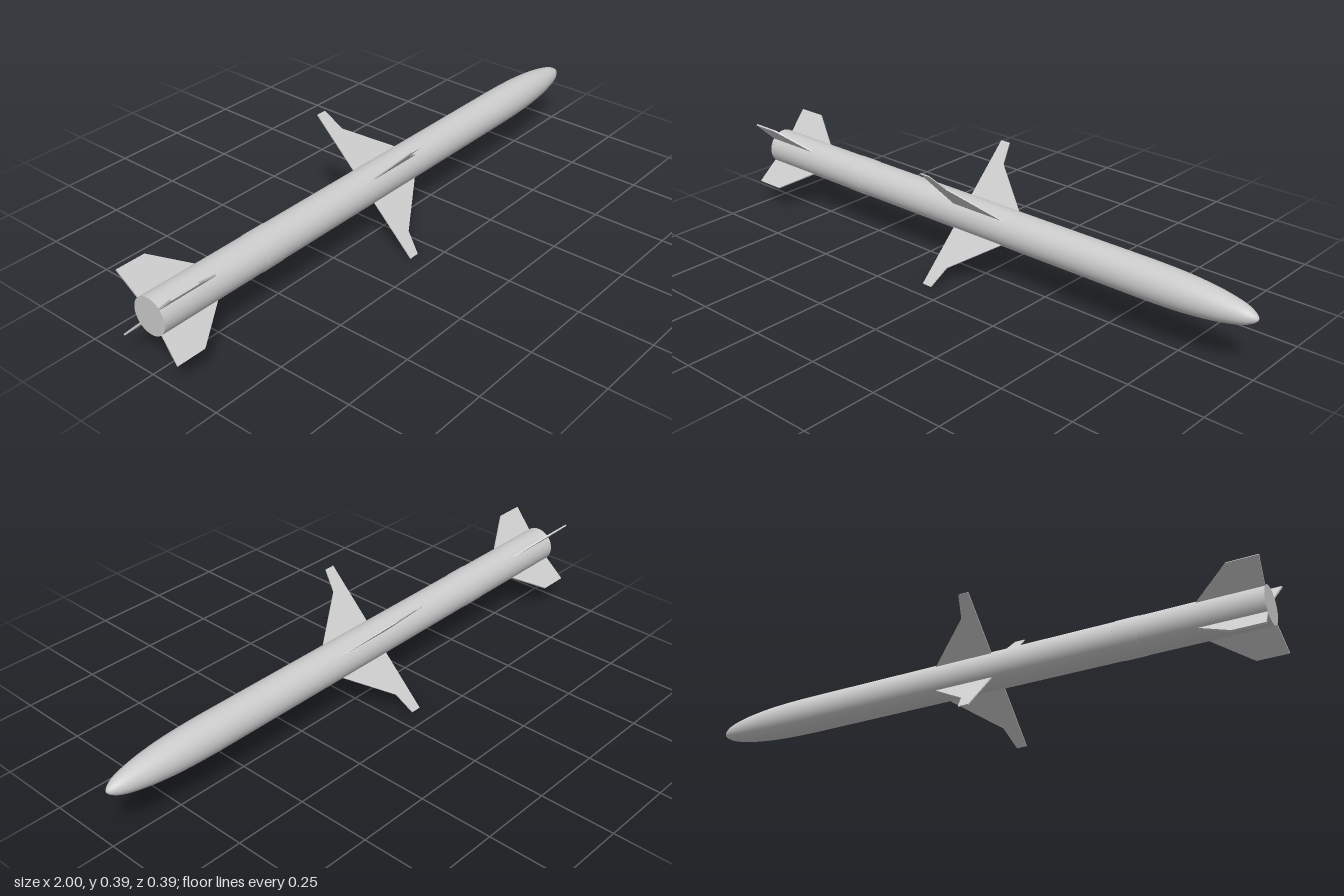
import * as THREE from 'three';

const R = 0.0612;      // body radius
const AXIS_Y = 0.193;  // height of the body axis
const mat = new THREE.MeshStandardMaterial({ color: 0xcccccc });

// Surface of revolution about the x axis; points are [x, radius] from tail to nose
function turned(name, points) {
  const geo = new THREE.LatheGeometry(points.map(([x, r]) => new THREE.Vector2(r, x)), 48);
  geo.rotateZ(-Math.PI / 2);
  const mesh = new THREE.Mesh(geo, mat);
  mesh.name = name;
  return mesh;
}

// Four thin plates in an X; outline is [x, distance from axis]
function finSet(name, outline, thickness) {
  const shape = new THREE.Shape(outline.map(([x, r]) => new THREE.Vector2(x, r)));
  const geo = new THREE.ExtrudeGeometry(shape, { depth: thickness, bevelEnabled: false });
  geo.translate(0, 0, -thickness / 2);
  const set = new THREE.Group();
  set.name = name + 's';
  for (let i = 0; i < 4; i++) {
    const fin = new THREE.Mesh(geo, mat);
    fin.name = name;
    fin.rotation.x = Math.PI / 4 + i * Math.PI / 2;
    set.add(fin);
  }
  return set;
}

export function createModel() {
  const model = new THREE.Group();
  model.name = 'finnedRocket';
  const body = new THREE.Group();
  body.name = 'body';
  body.position.y = AXIS_Y;
  model.add(body);

  // Straight tube
  body.add(turned('tube', [[-0.99, R], [-0.22, R], [0.28, R], [0.62, R]]));

  // Rounded, gently tapering nose
  const nosePath = new THREE.SplineCurve([
    [0.62, R], [0.7, 0.0598], [0.78, 0.0562], [0.86, 0.0485], [0.92, 0.0385],
    [0.96, 0.0285], [0.985, 0.0165], [0.996, 0.0075], [1, 0],
  ].map(([x, r]) => new THREE.Vector2(x, r)));
  body.add(turned('nose', nosePath.getPoints(32).map((p) => [p.x, Math.max(p.y, 0)])));

  // Flat tail plate
  const tail = new THREE.Mesh(new THREE.CircleGeometry(R, 48), mat);
  tail.name = 'tailPlate';
  tail.rotation.y = -Math.PI / 2;
  tail.position.x = -0.99;
  body.add(tail);

  // Slightly raised joint band
  const B = R + 0.0012;
  body.add(turned('jointBand', [[-0.595, R], [-0.594, B], [-0.521, B], [-0.52, R]]));

  // Cropped wings with narrow tips, and tail fins
  body.add(finSet('wing', [
    [-0.1, 0.04], [0.105, 0.04], [0.105, 0.06], [-0.045, 0.195],
    [-0.065, 0.271], [-0.1, 0.271],
  ], 0.0035));
  body.add(finSet('tailFin', [
    [-0.988, 0.04], [-0.78, 0.04], [-0.78, 0.06], [-0.9, 0.155], [-1, 0.155], [-0.99, 0.06],
  ], 0.0055));

  return model;
}
